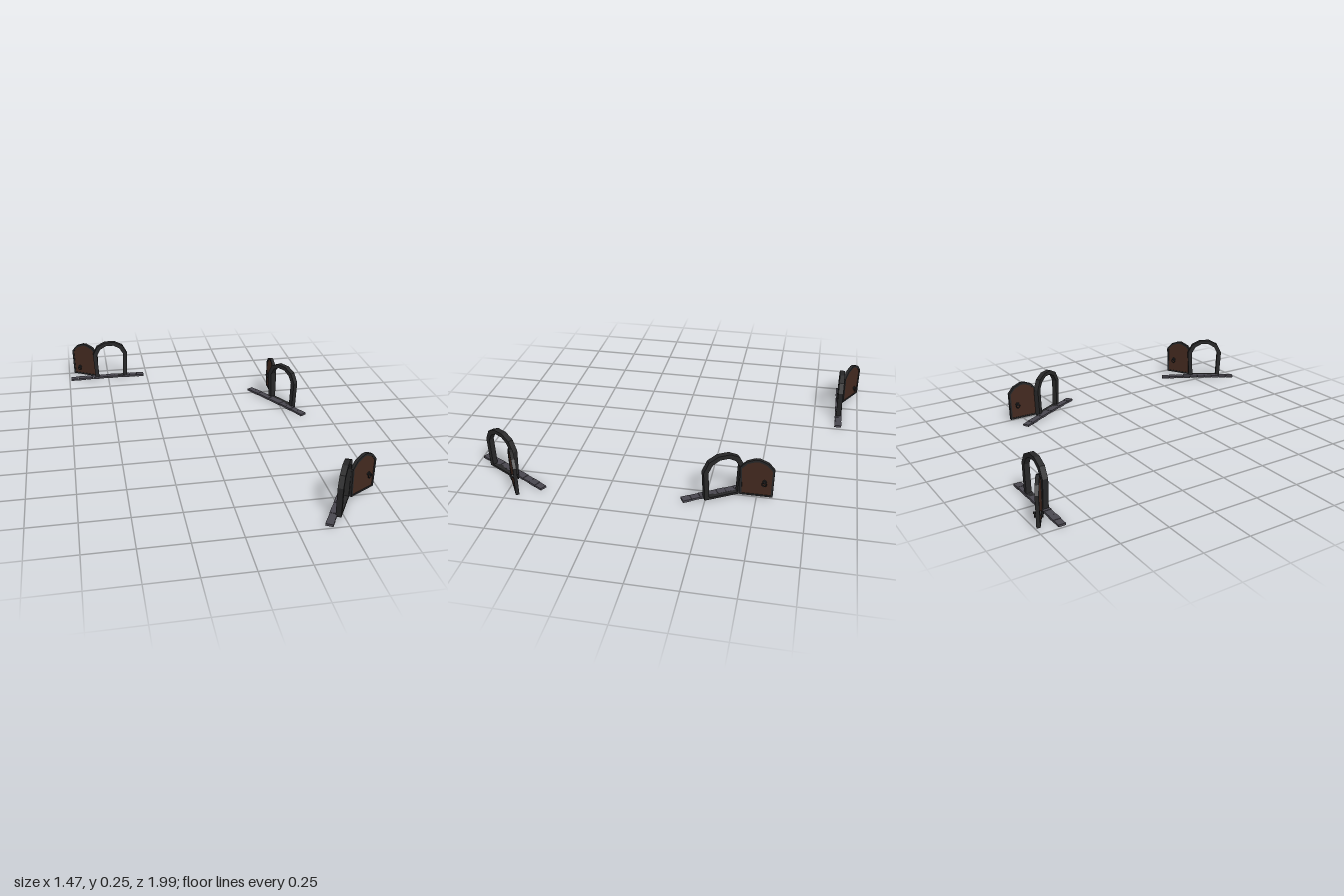
import * as THREE from 'three';

const mat = (name, color) => {
  const m = new THREE.MeshStandardMaterial({ color });
  m.name = name;
  return m;
};

// Symmetric low-poly arch outline from the right half, bottom to top
function archPoints(half) {
  const left = half.map(([x, y]) => [-x, y]).reverse();
  return [...half, ...left].map(([x, y]) => new THREE.Vector2(x, y));
}

function extrude(outer, inner, depth) {
  const shape = new THREE.Shape(archPoints(outer));
  if (inner) shape.holes.push(new THREE.Path(archPoints(inner)));
  const geo = new THREE.ExtrudeGeometry(shape, { depth, bevelEnabled: false });
  return geo.translate(0, 0, -depth / 2);
}

export function createModel() {
  const iron = mat('dark iron', 0x262627);
  const wood = mat('brown wood', 0x42291f);
  const stone = mat('grey stone', 0x48464e);

  const add = (parent, name, geo, material, x = 0, y = 0, z = 0) => {
    const m = new THREE.Mesh(geo, material);
    m.name = name;
    m.position.set(x, y, z);
    parent.add(m);
    return m;
  };

  // Arch surround with a sill
  const frameGeo = extrude(
    [[0.101, 0.003], [0.11, 0.167], [0.082, 0.222], [0.031, 0.248]],
    [[0.077, 0.015], [0.084, 0.165], [0.062, 0.204], [0.024, 0.226]], 0.028);

  // Door leaf outlines, hinged on its left edge
  const leafOuter = [[0.083, 0.009], [0.0875, 0.167], [0.056, 0.204], [0.012, 0.222]];
  const leafInner = [[0.073, 0.018], [0.077, 0.163], [0.049, 0.194], [0.01, 0.21]];
  const rimGeo = extrude(leafOuter, leafInner, 0.018);
  const panelGeo = extrude(leafInner, null, 0.012);

  // Handle parts
  const plateGeo = new THREE.CylinderGeometry(0.011, 0.011, 0.006, 8).rotateX(Math.PI / 2);
  const knobGeo = new THREE.BoxGeometry(0.008, 0.008, 0.016);
  const ringGeo = new THREE.TorusGeometry(0.011, 0.003, 5, 10);

  function buildDoor(handleY) {
    const hinge = new THREE.Group();
    hinge.name = 'door';
    const cx = 0.0875;
    add(hinge, 'doorRim', rimGeo, iron, cx);
    add(hinge, 'doorPanel', panelGeo, wood, cx);
    for (const side of [-1, 1]) {
      add(hinge, 'handlePlate', plateGeo, iron, 0.126, handleY + 0.005, side * 0.009);
      add(hinge, 'handleKnob', knobGeo, iron, 0.126, handleY + 0.006, side * 0.016);
      add(hinge, 'handleRing', ringGeo, iron, 0.126, handleY - 0.004, side * 0.017);
    }
    return hinge;
  }

  // Row of paving stones, dipping slightly toward both ends
  function buildThreshold() {
    const row = new THREE.Group();
    row.name = 'threshold';
    const count = 10, step = 0.47 / count;
    for (let i = 0; i < count; i++) {
      const x = (i + 0.5) * step - 0.235;
      const t = x / 0.235;
      const height = 0.011 + 0.0015 * (i % 2);
      const geo = new THREE.BoxGeometry(step - 0.0015, height, 0.037 + 0.002 * ((i * 3) % 2));
      const s = add(row, 'pavingStone', geo, stone, x, 0.0098 - 0.0035 * t * t, 0);
      s.rotation.z = -0.03 * t;
    }
    return row;
  }

  // Each gateway: position, turn, shift of the arch on its threshold, handle height
  const gateways = [
    { x: -0.505, z: -0.89, turn: 0, shift: [0.024, 0], handleY: 0.055 },
    { x: 0.488, z: -0.34, turn: -Math.PI / 3, shift: [0.025, -0.025], handleY: 0.092 },
    { x: 0.522, z: 0.78, turn: -2 * Math.PI / 3, shift: [0.047, -0.025], handleY: 0.092 },
  ];

  const model = new THREE.Group();
  model.name = 'gateways';
  for (const g of gateways) {
    const gate = new THREE.Group();
    gate.name = 'gateway';
    gate.position.set(g.x, 0, g.z);
    gate.rotation.y = g.turn;
    gate.add(buildThreshold());

    const arch = new THREE.Group();
    arch.name = 'archway';
    arch.position.set(g.shift[0], 0, g.shift[1]);
    add(arch, 'archFrame', frameGeo, iron);
    const door = buildDoor(g.handleY);
    door.position.set(-0.083, 0, -0.016);
    door.rotation.y = 5 * Math.PI / 6;
    arch.add(door);
    gate.add(arch);
    model.add(gate);
  }
  return model;
}
